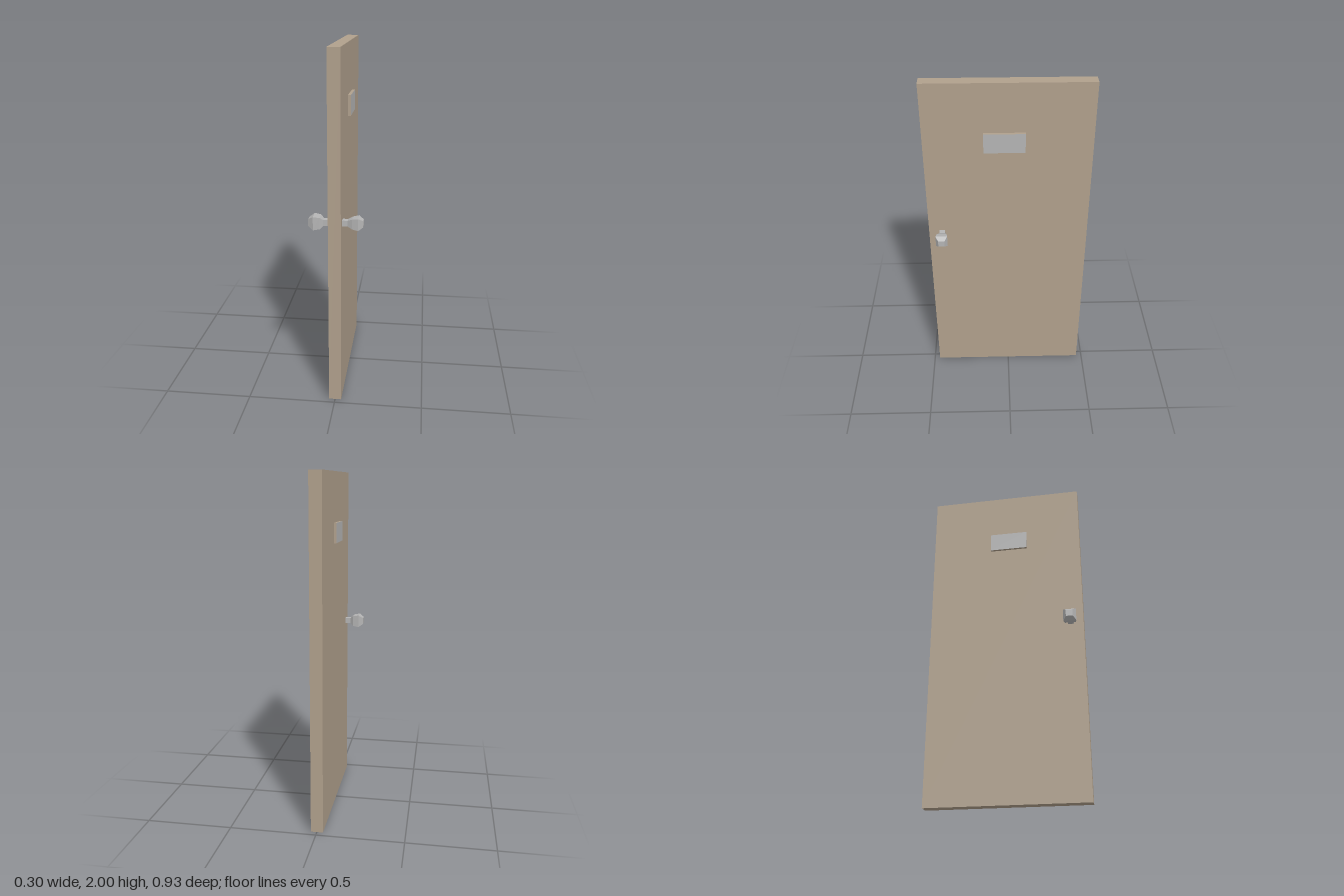
import * as THREE from 'three';

export function createModel() {
  const model = new THREE.Group();
  model.name = 'door';
  const wood = new THREE.MeshStandardMaterial({ color: 0xb0a08c, flatShading: true });
  const grey = new THREE.MeshStandardMaterial({ color: 0xb4b4b4, flatShading: true });

  // Box from its lower and upper corners
  function box(name, min, max, material) {
    const size = max.map((v, i) => v - min[i]);
    const mesh = new THREE.Mesh(new THREE.BoxGeometry(...size), material);
    mesh.position.set(...max.map((v, i) => (v + min[i]) / 2));
    mesh.name = name;
    model.add(mesh);
  }

  // Door slab
  box('doorPanel', [-0.035, 0, -0.466], [0.035, 2, 0.466], wood);

  // Sign plates: wooden edges with a grey outer face
  const plateFaces = (outer) => Array.from({ length: 6 }, (_, i) => (i === outer ? grey : wood));
  box('leftPlate', [0.034, 1.602, -0.094], [0.052, 1.716, 0.135], plateFaces(0));
  box('rightPlate', [-0.049, 1.602, -0.096], [-0.034, 1.716, 0.134], plateFaces(1));

  // Square-section knob: pairs of [half width, distance from door centre]
  function knob(name, side, z, sections) {
    const points = sections.map(([h, d]) => new THREE.Vector2(h * Math.SQRT2, d));
    points.push(new THREE.Vector2(0, sections[sections.length - 1][1]));
    const mesh = new THREE.Mesh(new THREE.LatheGeometry(points, 4, Math.PI / 4), grey);
    mesh.rotation.z = -side * Math.PI / 2;
    mesh.position.set(0, 1.064, z);
    mesh.name = name;
    model.add(mesh);
  }
  knob('leftKnob', 1, 0.389,
    [[0.017, 0.03], [0.016, 0.065], [0.028, 0.09], [0.034, 0.123], [0.018, 0.15]]);
  knob('rightKnob', -1, 0.391,
    [[0.017, 0.03], [0.017, 0.068], [0.032, 0.085], [0.038, 0.122], [0.02, 0.15]]);

  return model;
}
